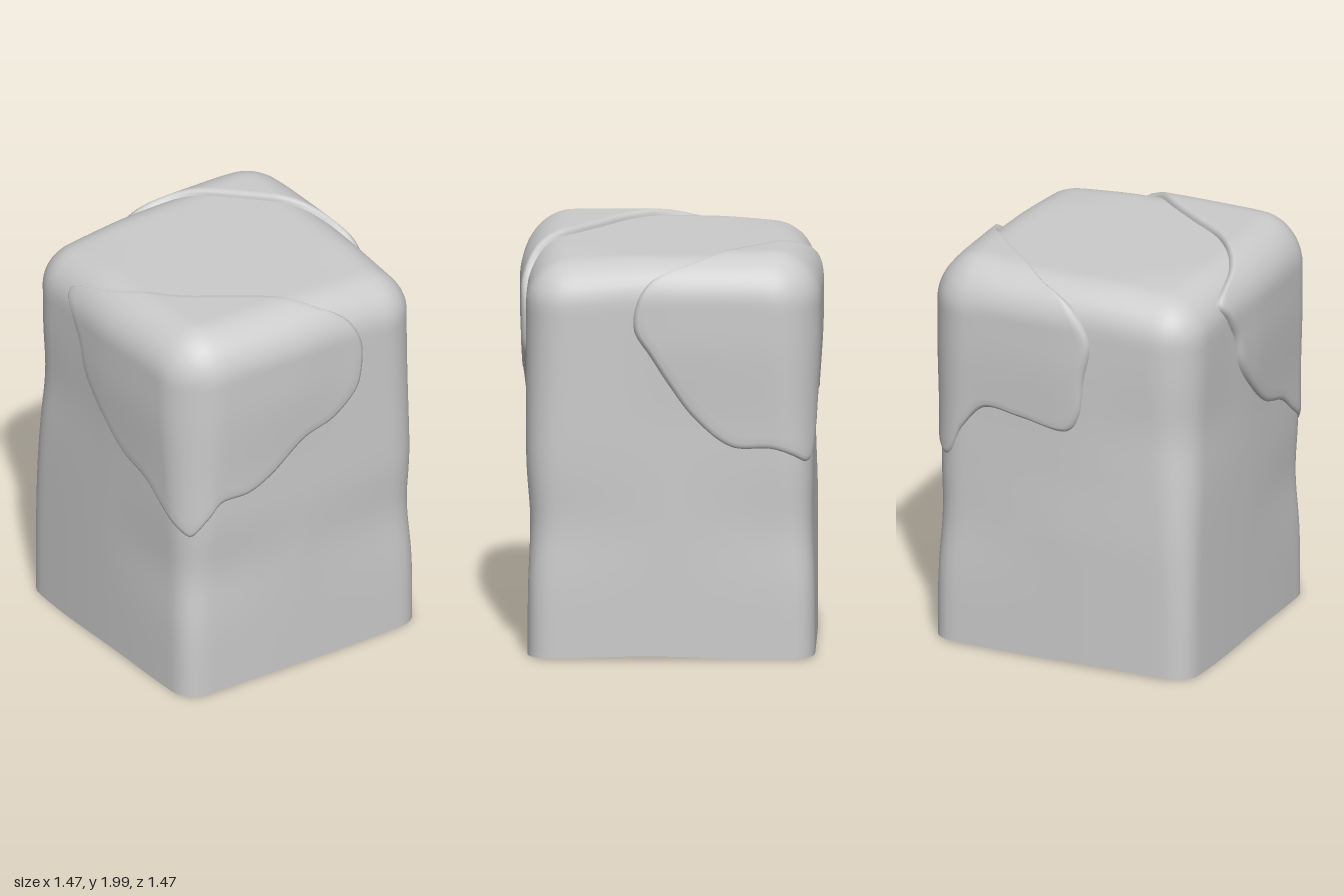
import * as THREE from 'three';
import { mergeVertices, toCreasedNormals } from 'three/addons/utils/BufferGeometryUtils.js';

const HALF = 0.695, TOP = 1.965;
const material = new THREE.MeshStandardMaterial({ color: 0xcccccc });
const { clamp, smoothstep, lerp } = THREE.MathUtils;

// Rounds the sides and top of the sharp block, lifts by offset, then makes it uneven
function soften(p, offset = 0) {
  const r = lerp(0.12, 0.2, smoothstep(p.y, 0.2, 1.7));
  const lim = HALF - r;
  const inner = new THREE.Vector3(clamp(p.x, -lim, lim), Math.min(p.y, TOP - r), clamp(p.z, -lim, lim));
  const d = p.clone().sub(inner);
  const reach = Math.max(Math.abs(d.x), Math.abs(d.y), Math.abs(d.z));
  if (reach > 1e-6) d.setLength(reach + offset);
  p.copy(inner).add(d);

  // sides swell near the top, upright edges are pinched at one height and slimmer at the front
  const { x, y, z } = p;
  const xz = x * z / (HALF * HALF);
  const swell = 0.015 * smoothstep(y, 1.15, 1.65) * smoothstep(xz, -0.4, 0.1);
  const notch = x < 0 && z > 0 ? 1.25 : 0.65;
  const slim = z > 0 ? 0.03 * xz * xz : 0;
  const pinch = 1 - slim - 0.024 * Math.abs(xz) * Math.exp(-(((y - notch) / 0.22) ** 2));
  const low = clamp(1 - y, 0, 1);
  p.x *= pinch + swell * (1 - (z / HALF) ** 2);
  p.z *= pinch + swell * (1 - (x / HALF) ** 2);
  p.x -= 0.009 * smoothstep(low, 0, 0.4);

  // wavy bottom, and the two bare top corners sag
  p.y += low * (0.018 + 0.006 * Math.sin(6 * x + 1) + 0.004 * Math.sin(6 * z));
  p.y -= smoothstep(y, 1.4, TOP) * (0.04 * smoothstep(-xz, 0.15, 0.9) + 0.025 * smoothstep(xz, 0.5, 1));
  return p;
}

// Pushes a point outwards onto the sharp block
function toBlock(p) {
  const cy = TOP / 2;
  const k = Math.max(Math.abs(p.x) / HALF, Math.abs(p.y - cy) / cy, Math.abs(p.z) / HALF);
  return p.set(p.x / k, (p.y - cy) / k + cy, p.z / k);
}

function createBlock() {
  let geo = new THREE.BoxGeometry(HALF * 2, TOP, HALF * 2, 32, 40, 32).translate(0, TOP / 2, 0);
  geo.deleteAttribute('uv');
  geo.deleteAttribute('normal');
  geo = mergeVertices(geo, 1e-4);
  const pos = geo.attributes.position;
  const p = new THREE.Vector3();
  for (let i = 0; i < pos.count; i++) {
    soften(p.fromBufferAttribute(pos, i));
    pos.setXYZ(i, p.x, p.y, p.z);
  }
  return toCreasedNormals(geo, Math.PI / 4);
}

// Thin raised layer spreading from a top corner to an irregular rim, thinner lower down
function createPatch(corner, rim) {
  const points = rim.map(([x, y, z]) => new THREE.Vector3(x, y, z));
  const curve = new THREE.CatmullRomCurve3(points, true, 'centripetal');
  const N = 160, inner = 24;
  const rings = [];
  for (let i = 0; i < inner; i++) rings.push([0.97 * i / (inner - 1), 0.03]);
  rings.push([0.985, 0.021], [0.996, 0.01], [1, -0.015]);

  const verts = [], index = [];
  const outline = curve.getSpacedPoints(N).slice(0, N);
  for (const [t, offset] of rings) {
    for (const q of outline) {
      const p = toBlock(corner.clone().lerp(toBlock(q.clone()), t));
      const thickness = lerp(0.45, 1, smoothstep(p.y, 1, 1.6));
      verts.push(...soften(p, offset * thickness).toArray());
    }
  }
  for (let i = 0; i < rings.length - 1; i++) {
    for (let k = 0; k < N; k++) {
      const a = i * N + k, b = i * N + (k + 1) % N;
      if (i > 0) index.push(a, b + N, b);
      index.push(a, a + N, b + N);
    }
  }
  let geo = new THREE.BufferGeometry();
  geo.setAttribute('position', new THREE.Float32BufferAttribute(verts, 3));
  geo.setIndex(index);
  geo = mergeVertices(geo, 1e-5);
  geo.computeVertexNormals();
  return geo;
}

export function createModel() {
  const group = new THREE.Group();
  const add = (name, geo) => {
    const mesh = new THREE.Mesh(geo, material);
    mesh.name = name;
    group.add(mesh);
  };
  const H = HALF, T = TOP;

  add('block', createBlock());

  // Rims run down one side, up the next, then back across the top
  add('frontLeftPatch', createPatch(new THREE.Vector3(H, T, H), [
    [-0.33, 1.88, H], [-0.27, 1.76, H], [-0.2, 1.64, H], [-0.15, 1.48, H], [0, 1.3, H],
    [0.15, 1.18, H], [0.35, 1.11, H], [0.5, 1, H], [H, 0.9, H],
    [H, 1, 0.57], [H, 1.07, 0.5], [H, 1.08, 0.33], [H, 1.14, 0.2], [H, 1.29, 0],
    [H, 1.34, -0.16], [H, 1.46, -0.3], [H, 1.57, -0.33], [H, 1.72, -0.33], [H, 1.85, -0.27],
    [H, T, -0.18], [0.5, T, 0], [0.35, T, 0.2], [0.2, T, 0.41], [0, T, 0.57], [-0.2, T, H],
  ]));
  add('backRightPatch', createPatch(new THREE.Vector3(-H, T, -H), [
    [0.16, 1.76, -H], [0.17, 1.63, -H], [0.09, 1.5, -H], [0, 1.36, -H], [-0.12, 1.2, -H],
    [-0.3, 1.06, -H], [-0.5, 1.05, -H], [-H, 0.98, -0.63],
    [-H, 1.15, -0.52], [-H, 1.27, -0.4], [-H, 1.25, -0.2], [-H, 1.22, 0.04], [-H, 1.3, 0.1],
    [-H, 1.5, 0.13], [-H, 1.7, 0.16], [-H, 1.85, 0.08],
    [-H, T, -0.03], [-0.56, T, -0.19], [-0.4, T, -0.36], [-0.2, T, -0.55], [0, T, -H], [0.1, 1.87, -H],
  ]));
  return group;
}
